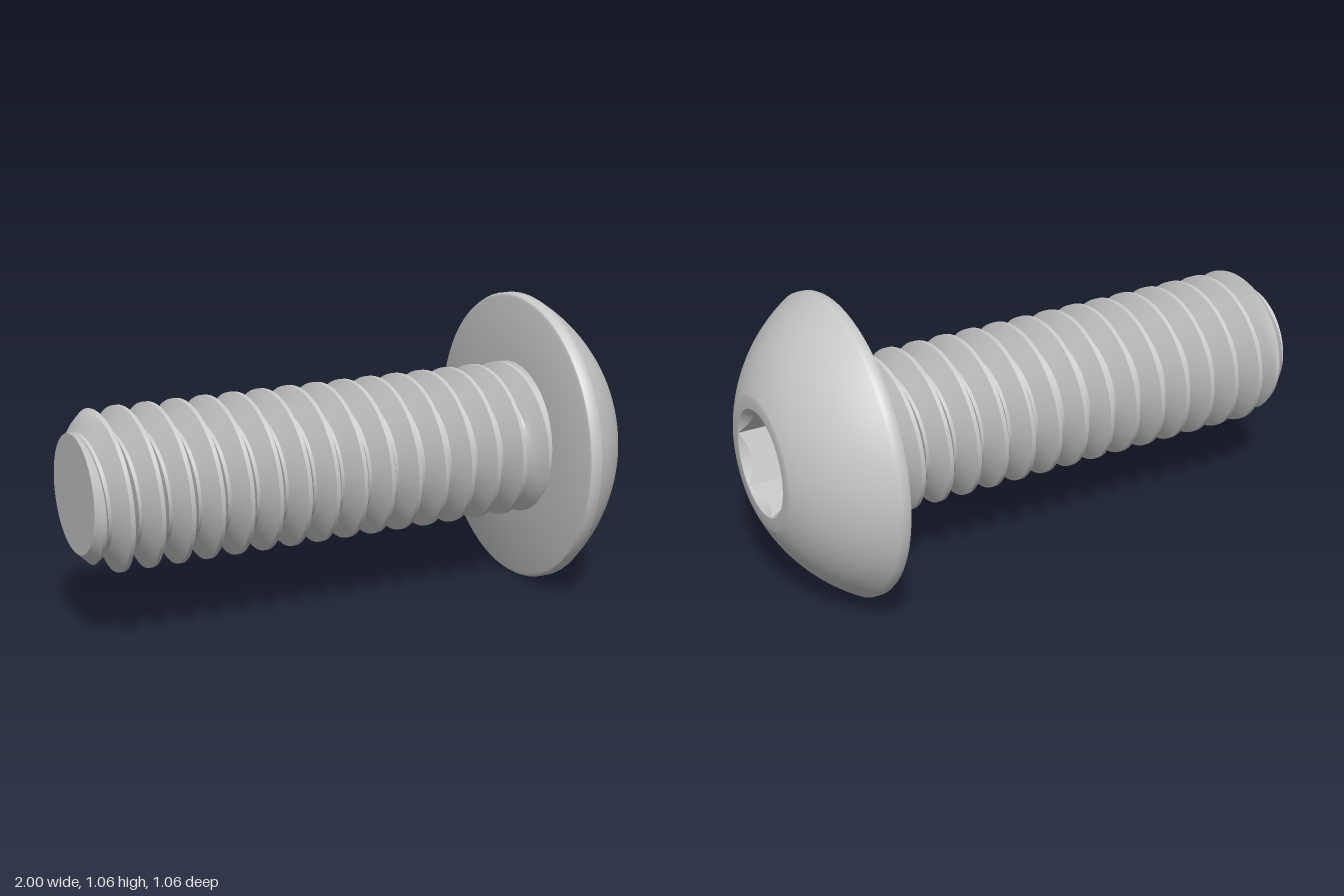
import * as THREE from 'three';
import { toCreasedNormals } from 'three/addons/utils/BufferGeometryUtils.js';

const SIDES = 72;
const PITCH = 0.106, CREST = 0.28, ROOT = 0.205, CREST_X = -0.075;
const TIP_X = -1, HEAD_X = 0.7, HEAD_R = 0.53;
const SOCKET_R = 0.187, SOCKET_FLOOR = 0.835;

// Skins rows of rings around the x axis; ring(row, angle) returns [x, radius].
function skin(rows, ring) {
  const pos = [];
  const point = (row, j) => {
    const a = ((j % SIDES) / SIDES) * Math.PI * 2;
    const [x, r] = ring(row, (j / SIDES) * Math.PI * 2);
    return new THREE.Vector3(x, r * Math.cos(a), r * Math.sin(a));
  };
  const tri = (...p) => {
    if (new THREE.Triangle(...p).getArea() > 1e-9) p.forEach(v => pos.push(v.x, v.y, v.z));
  };
  for (let i = 0; i + 1 < rows.length; i++) {
    for (let j = 0; j < SIDES; j++) {
      const a = point(rows[i], j), b = point(rows[i], j + 1);
      const c = point(rows[i + 1], j), d = point(rows[i + 1], j + 1);
      tri(a, b, c);
      tri(b, d, c);
    }
  }
  const geometry = new THREE.BufferGeometry();
  geometry.setAttribute('position', new THREE.Float32BufferAttribute(pos, 3));
  return toCreasedNormals(geometry, THREE.MathUtils.degToRad(32));
}

// Right-hand thread, chamfered at the tip and flared under the head
function threadGeometry() {
  const radiusAt = (x, angle) => {
    const t = (x - CREST_X) / PITCH - angle / (Math.PI * 2);
    const d = Math.abs(t - Math.round(t));
    const thread = THREE.MathUtils.mapLinear(THREE.MathUtils.clamp(d, 0.07, 0.44), 0.07, 0.44, CREST, ROOT);
    const flare = ROOT + (CREST - ROOT) * (x - 0.635) / (HEAD_X - 0.635);
    const chamfer = ROOT + (x - TIP_X) * 0.95;
    return Math.min(Math.max(thread, flare), chamfer);
  };
  const rows = [null];
  for (let n = -10; n <= 7; n++) {
    for (const f of [-0.44, -0.32, -0.19, -0.07, 0.07, 0.19, 0.32, 0.44]) rows.push(n + f);
  }
  return skin(rows, (row, angle) => {
    if (row === null) return [TIP_X, 0];
    const x = CREST_X + PITCH * (row + angle / (Math.PI * 2));
    const cx = THREE.MathUtils.clamp(x, TIP_X, HEAD_X);
    return [cx, radiusAt(cx, angle)];
  });
}

// Domed head whose profile runs on into the hexagonal socket
function headGeometry() {
  const round = (x, r) => () => [x, r];
  const hex = angle => {
    const sector = Math.PI / 3;
    const a = THREE.MathUtils.euclideanModulo(angle - Math.PI / 9 + 1e-7, sector);
    return SOCKET_R * Math.cos(sector / 2) / Math.cos(a - sector / 2);
  };
  const rows = [
    round(HEAD_X, 0.15), round(HEAD_X, 0.515), round(0.704, 0.524),
    round(0.715, HEAD_R), round(0.742, HEAD_R),
  ];
  // Spherical dome
  const cx = 0.43, R = 0.615;
  for (let i = 0; i <= 12; i++) {
    const x = 0.752 + (1 - 0.752) * Math.sin((i / 12) * Math.PI / 2);
    rows.push(round(x, Math.sqrt(R * R - (x - cx) ** 2)));
  }
  // Countersunk mouth, six walls and floor
  rows.push(
    round(1, SOCKET_R),
    a => [1 - (SOCKET_R - hex(a)) * 1.2, hex(a)],
    a => [SOCKET_FLOOR, hex(a)],
    round(SOCKET_FLOOR, 0),
  );
  return skin(rows, (row, angle) => row(angle));
}

export function createModel() {
  const steel = new THREE.MeshStandardMaterial({ color: 0xc8c8c8 });
  steel.name = 'steel grey';
  const model = new THREE.Group();
  model.name = 'buttonHeadScrew';
  for (const [name, geometry] of [['threadedShaft', threadGeometry()], ['socketHead', headGeometry()]]) {
    const mesh = new THREE.Mesh(geometry, steel);
    mesh.name = name;
    mesh.position.y = HEAD_R;
    model.add(mesh);
  }
  return model;
}
